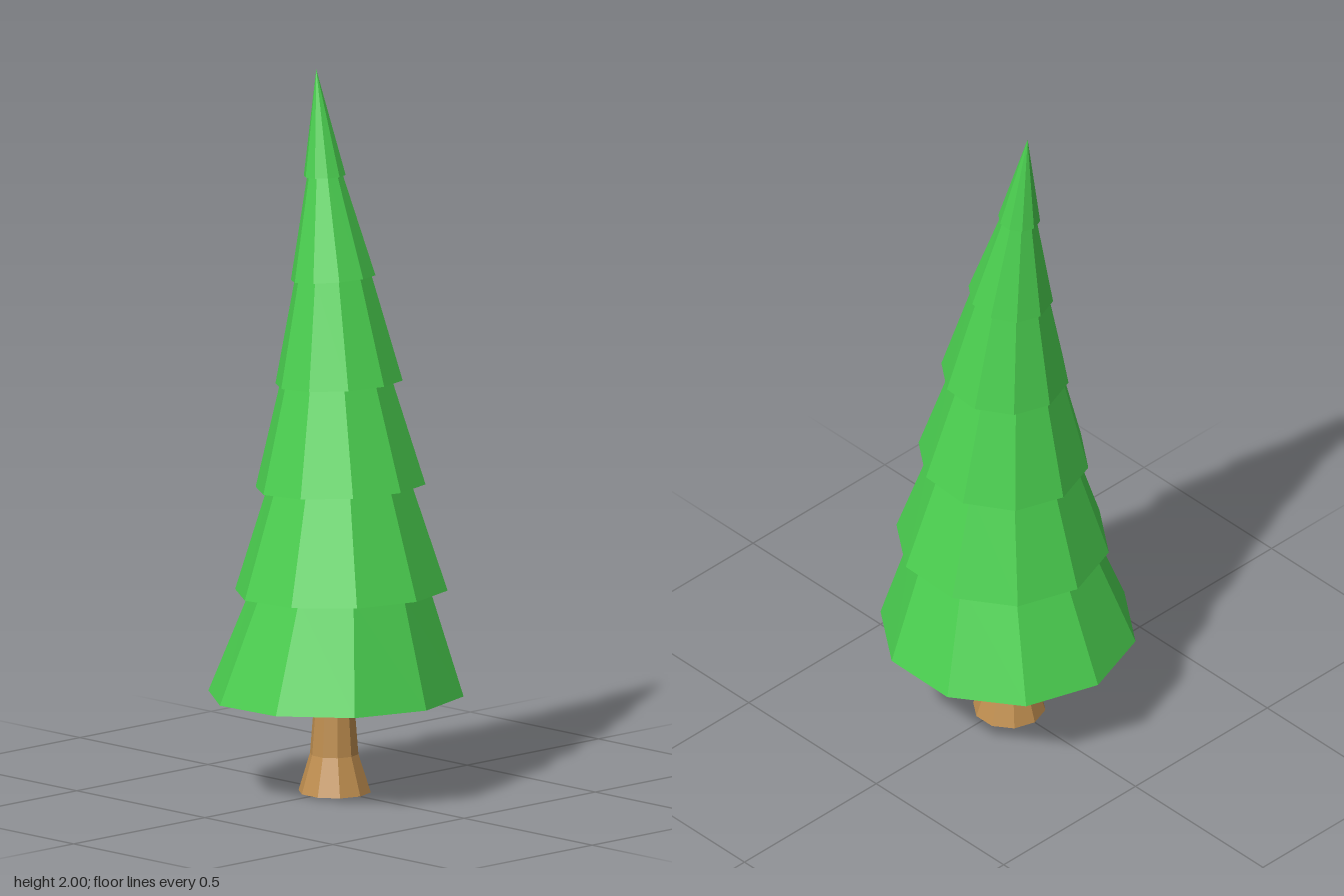
import * as THREE from 'three';

const SIDES = 10;
const TIP_Z = -0.077;

// Faceted lathe from rings [radius, y, z offset, tilt]; tilt lifts the front of a ring.
function facetedStack(rings, material, name) {
  const points = rings.map(([r, y]) => new THREE.Vector2(r, y));
  const geometry = new THREE.LatheGeometry(points, SIDES);
  const pos = geometry.attributes.position;
  for (let i = 0; i < pos.count; i++) {
    const [, y, dz, tilt] = rings[i % rings.length];
    const z = pos.getZ(i);
    pos.setXYZ(i, pos.getX(i), y + tilt * z, z + dz);
  }
  geometry.computeVertexNormals();
  const mesh = new THREE.Mesh(geometry, material);
  mesh.name = name;
  return mesh;
}

export function createModel() {
  const tree = new THREE.Group();
  tree.name = 'pineTree';
  const green = new THREE.MeshStandardMaterial({ color: 0x4bd050, flatShading: true });
  const brown = new THREE.MeshStandardMaterial({ color: 0xc08f50, flatShading: true });

  // Trunk with a flared foot
  tree.add(facetedStack([
    [0, 0, -0.005, 0],
    [0.1, 0, -0.005, 0],
    [0.067, 0.105, -0.007, 0],
    [0.053, 0.28, -0.007, 0],
    [0.05, 0.36, -0.007, 0],
  ], brown, 'trunk'));

  // Foliage tiers: rim radius, rim height, rim z, tilt, top radius, top z
  const tiers = [
    [0.353, 0.273, 0.0, 0.014, 0.245, 0.018],
    [0.294, 0.565, 0.021, 0.034, 0.196, 0.014],
    [0.235, 0.855, 0.018, 0.06, 0.152, 0.0],
    [0.176, 1.143, 0.012, 0.07, 0.104, -0.012],
    [0.117, 1.43, -0.011, 0.11, 0.047, -0.044],
    [0.058, 1.71, -0.044, 0.06, 0, TIP_Z],
  ];
  const foliage = new THREE.Group();
  foliage.name = 'foliage';
  tiers.forEach(([rim, y, z, tilt, top, topZ], i) => {
    const next = tiers[i + 1];
    const topY = next ? next[1] + 0.01 : 2;
    const hollow = i === 0 ? 0.06 : 0.02;
    foliage.add(facetedStack([
      [0, y + hollow, z, 0],
      [rim, y, z, tilt],
      [top, topY, topZ, next ? next[3] : 0],
    ], green, `foliageTier${i + 1}`));
  });
  tree.add(foliage);
  return tree;
}
